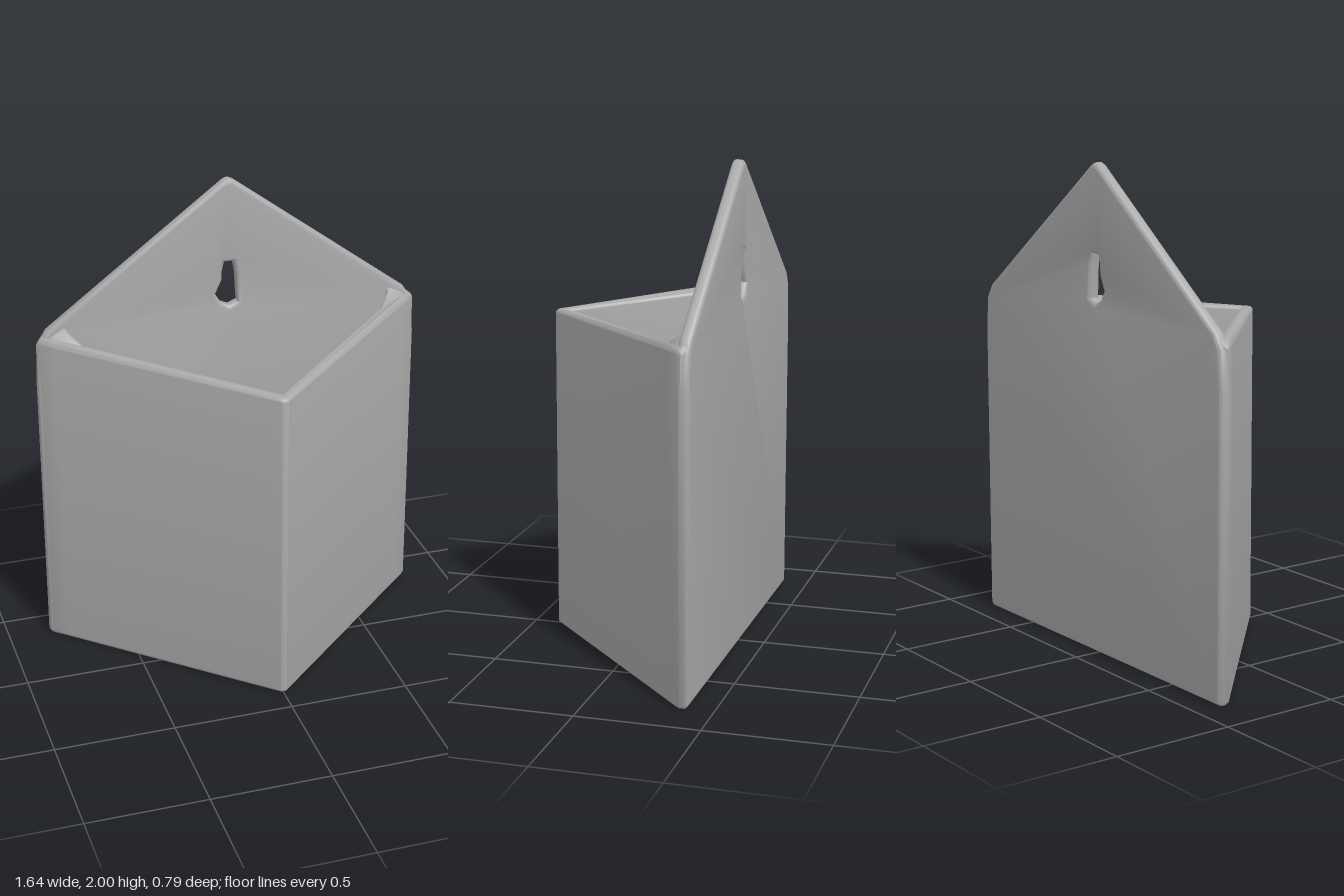
import * as THREE from 'three';
import { toCreasedNormals } from 'three/addons/utils/BufferGeometryUtils.js';

const CLAY = new THREE.MeshStandardMaterial({ name: 'grey clay', color: 0xaaaaaa });

const shapeOf = (pts) => new THREE.Shape(pts.map(([x, y]) => new THREE.Vector2(x, y)));
// Mirror a half outline, listed from its right end, to the left side
const mirrored = (half) => [...half, ...half.filter(([x]) => x > 0).reverse().map(([x, y]) => [-x, y])];

// Extrusion with rounded rims that stays inside the given outline and depth
function roundedSlab(shape, depth, bevel) {
  return new THREE.ExtrudeGeometry(shape, {
    depth: depth - 2 * bevel, bevelEnabled: true, bevelThickness: bevel,
    bevelSize: bevel, bevelOffset: -bevel, bevelSegments: 4,
  }).translate(0, 0, bevel);
}

function part(name, geometry) {
  const mesh = new THREE.Mesh(toCreasedNormals(geometry, 0.75), CLAY);
  mesh.name = name;
  return mesh;
}

export function createModel() {
  const group = new THREE.Group();
  group.name = 'wallPlanter';

  // Gabled back panel with a keyhole for hanging
  const panel = shapeOf(mirrored([
    [0.81, 0], [0.822, 0.015], [0.822, 1.22], [0.812, 1.37], [0.775, 1.43], [0.02, 1.993], [0, 2],
  ]));
  panel.holes.push(shapeOf([
    [-0.02, 1.64], [0.018, 1.64], [0.028, 1.59], [0.035, 1.46], [0, 1.445],
    [-0.035, 1.46], [-0.06, 1.5], [-0.032, 1.56], [-0.03, 1.6],
  ]));
  group.add(part('backPanel', roundedSlab(panel, 0.052, 0.018).translate(0, 0, -0.398)));

  // Two front walls meeting in a V, outline in x and z
  const outer = [[0.8, -0.385], [0.82, -0.365], [0.81, -0.345], [0.755, -0.295], [0.03, 0.378], [0.012, 0.395]];
  const inner = [[0, 0.34], [0.64, -0.28], [0.69, -0.335], [0.69, -0.385]];
  const left = (pts) => pts.map(([x, z]) => [-x, z]).reverse();
  const wallOutline = [...outer, ...left(outer), ...left(inner), ...inner.slice(1)];
  const walls = roundedSlab(shapeOf(wallOutline.map(([x, z]) => [x, -z])), 1.36, 0.016).rotateX(-Math.PI / 2);
  // Rim climbs gently toward the back and sweeps up into the panel
  const p = walls.attributes.position;
  for (let i = 0; i < p.count; i++) {
    const x = Math.abs(p.getX(i)), y = p.getY(i), z = p.getZ(i);
    if (y < 1) continue;
    const sweep = THREE.MathUtils.clamp((-0.29 - z) / 0.06, 0, 1) * 0.065;
    const room = Math.max(0, 1.4 + (0.8 - x) * 0.74 - 1.385);
    p.setY(i, y + 0.025 * THREE.MathUtils.clamp((0.4 - z) / 0.69, 0, 1) + Math.min(sweep, room));
  }
  group.add(part('frontWalls', walls));

  // Pocket floor, tucked into the walls and panel
  const floor = roundedSlab(shapeOf([[-0.76, 0.37], [0.76, 0.37], [0, -0.37]]), 0.05, 0.004);
  group.add(part('floor', floor.rotateX(-Math.PI / 2).translate(0, 0.003, 0)));

  return group;
}
